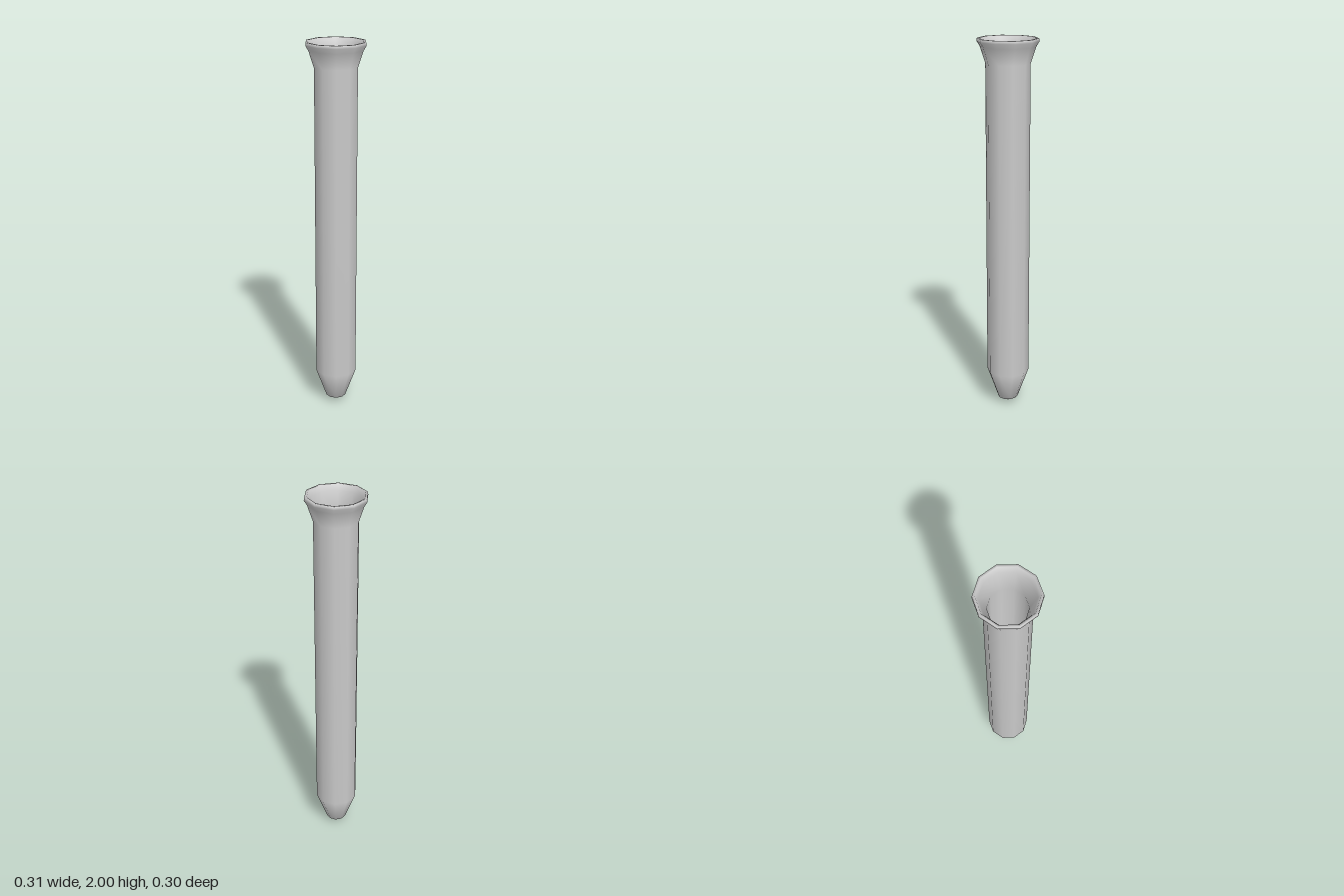
import * as THREE from 'three';

const SIDES = 10;

// Ten-sided turned shell with a corner on the x axis
function turned(name, points, material) {
  const profile = points.map(([r, y]) => new THREE.Vector2(r, y));
  const mesh = new THREE.Mesh(new THREE.LatheGeometry(profile, SIDES, Math.PI / 2), material);
  mesh.name = name;
  return mesh;
}

export function createModel() {
  const group = new THREE.Group();
  group.name = 'taperedTube';
  const material = new THREE.MeshStandardMaterial({ color: 0xcccccc });

  // Outer wall from the blunt tip up through the flare, over the lip,
  // then back down the bore to its conical floor
  group.add(turned('tubeShell', [
    [0, 0], [0.055, 0.03], [0.114, 0.195],
    [0.114, 1.875], [0.142, 1.96], [0.157, 1.985],
    [0.155, 2], [0.143, 2], [0.13, 1.97],
    [0.095, 1.87], [0.095, 0.2], [0, 0.03],
  ], material));

  return group;
}
